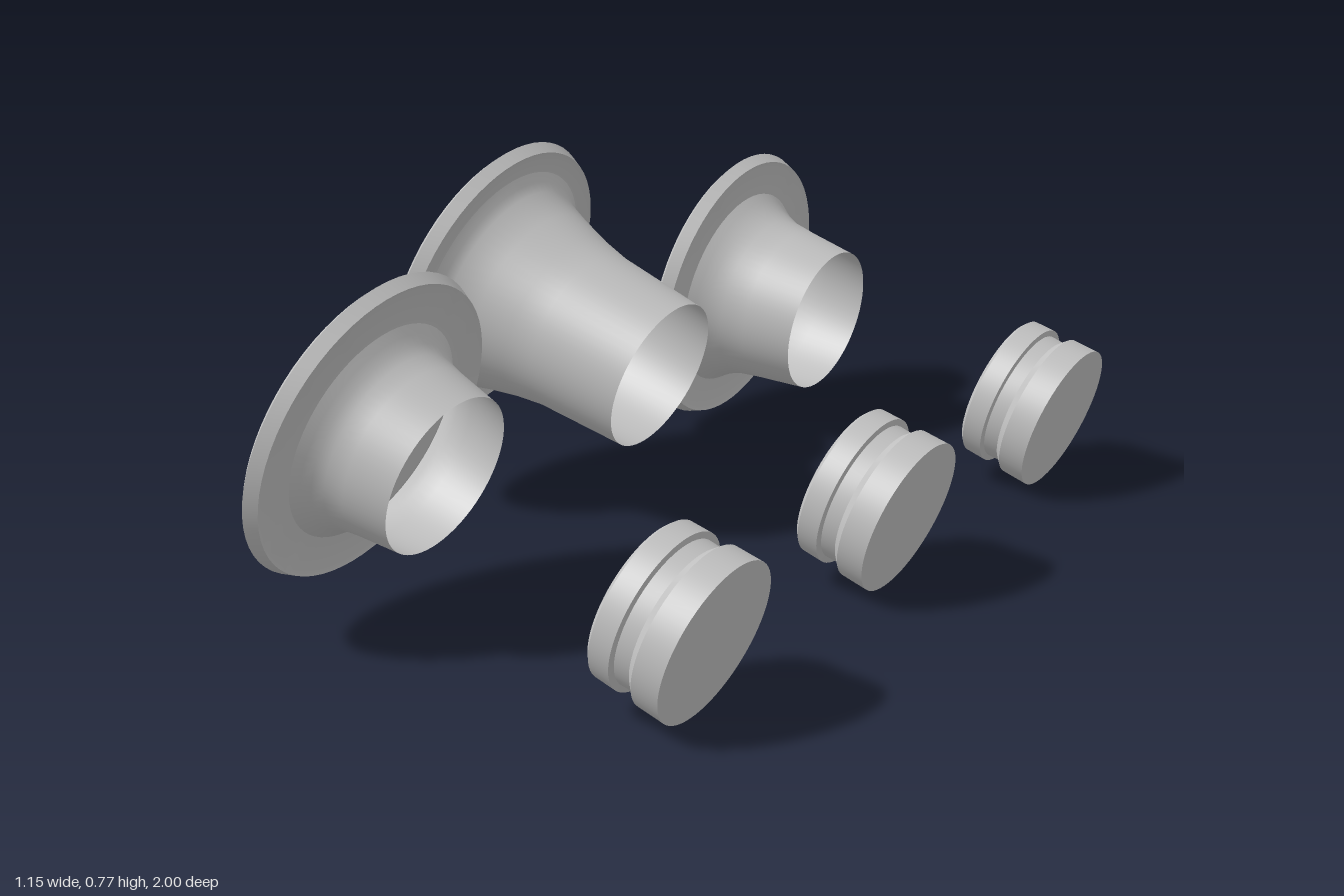
import * as THREE from 'three';
import { toCreasedNormals } from 'three/addons/utils/BufferGeometryUtils.js';

const metal = new THREE.MeshStandardMaterial({ color: 0xc0c0c0, side: THREE.DoubleSide });
metal.name = 'light grey metal';

// Turned part from [distance along axis, radius] pairs
function turned(name, profile, crease = 0.4) {
  const points = profile.map(([s, r]) => new THREE.Vector2(r, s));
  const mesh = new THREE.Mesh(toCreasedNormals(new THREE.LatheGeometry(points, 64), crease), metal);
  mesh.name = name;
  return mesh;
}

// Point the local +y axis toward +x, dipping down by the given angle
function place(group, x, y, z, tilt) {
  group.position.set(x, y, z);
  group.rotation.z = -(Math.PI / 2 + THREE.MathUtils.degToRad(tilt));
  return group;
}

// Open flared funnel with a thick rim and a disc closing the mouth
function makeHorn(name, length, flare) {
  const horn = new THREE.Group();
  horn.name = name;
  const base = flare[0][1];
  const plate = -length;
  horn.add(turned('flaredTube', [...flare, [0, 0.16]], 0.7));
  horn.add(turned('rim', [
    [plate - 0.005, base],
    [plate - 0.014, base + (0.298 - base) * 0.45],
    [plate - 0.025, base + (0.298 - base) * 0.78],
    [plate - 0.037, 0.298],
    [plate - 0.027, 0.31],
    [plate, 0.299],
    [plate - 0.003, 0.289],
    [plate - 0.003, base],
  ]));
  const disc = new THREE.Mesh(new THREE.CircleGeometry(base, 64), metal);
  disc.name = 'mouthDisc';
  disc.rotation.x = -Math.PI / 2;
  disc.position.y = plate - 0.005;
  horn.add(disc);
  return horn;
}

// Solid grooved plug
function makePlug() {
  const plug = new THREE.Group();
  plug.name = 'plug';
  plug.add(turned('groovedPlug', [
    [-0.158, 0], [-0.158, 0.147], [-0.15, 0.156], [-0.106, 0.157],
    [-0.104, 0.144], [-0.073, 0.143], [-0.057, 0.159], [0, 0.16], [0, 0],
  ]));
  return plug;
}

export function createModel() {
  const model = new THREE.Group();
  model.name = 'hornsAndPlugs';

  // Three horns of different lengths
  model.add(place(makeHorn('shortHorn', 0.171,
    [[-0.174, 0.219], [-0.16, 0.205], [-0.146, 0.192], [-0.126, 0.181], [-0.09, 0.173]]),
    -0.047, 0.339, 0.69, 18));
  model.add(place(makeHorn('longHorn', 0.419,
    [[-0.422, 0.254], [-0.41, 0.237], [-0.394, 0.223], [-0.33, 0.202], [-0.26, 0.183], [-0.2, 0.172]]),
    -0.047, 0.339, 0, 18));
  model.add(place(makeHorn('mediumHorn', 0.233,
    [[-0.236, 0.223], [-0.22, 0.211], [-0.2, 0.198], [-0.165, 0.183], [-0.11, 0.174]]),
    -0.06, 0.278, -0.69, 10));

  // One plug in front of each horn
  for (const z of [-0.69, 0, 0.69]) model.add(place(makePlug(), 0.523, 0.156, z, 18));

  return model;
}
